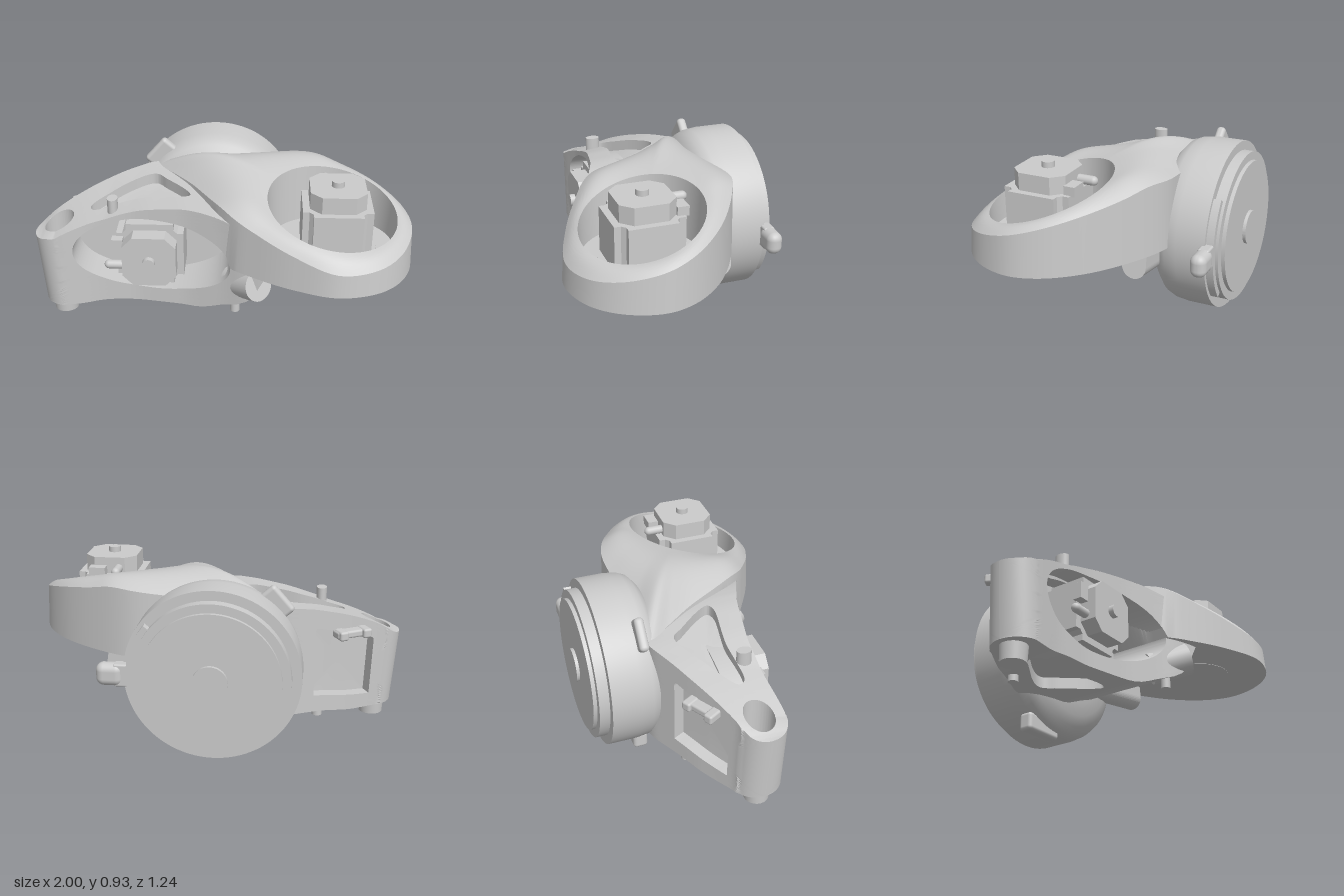
import * as THREE from 'three';
import { toCreasedNormals } from 'three/addons/utils/BufferGeometryUtils.js';
import { RoundedBoxGeometry } from 'three/addons/geometries/RoundedBoxGeometry.js';

const grey = new THREE.MeshStandardMaterial({ color: 0xcccccc });
const shellGrey = new THREE.MeshStandardMaterial({ color: 0xcccccc, side: THREE.DoubleSide });
const V3 = (x, y, z) => new THREE.Vector3(x, y, z);
const { lerp, clamp } = THREE.MathUtils;

function part(parent, name, geometry, x = 0, y = 0, z = 0, material = grey) {
  const mesh = new THREE.Mesh(geometry, material);
  mesh.name = name;
  mesh.position.set(x, y, z);
  parent.add(mesh);
  return mesh;
}

// Curve through [x, value] pairs, with softened corners
function linear(pairs, x) {
  let i = 1;
  while (i < pairs.length - 1 && x > pairs[i][0]) i++;
  const [a, b] = [pairs[i - 1], pairs[i]];
  return lerp(a[1], b[1], clamp((x - a[0]) / (b[0] - a[0]), 0, 1));
}
const along = (pairs, x) => [-0.04, -0.02, 0, 0.02, 0.04].reduce((s, d) => s + linear(pairs, x + d) / 5, 0);

// Skin over closed rings with equal point counts
function loft(rings, flip = false, crease = 0.55) {
  const n = rings[0].length, index = [];
  for (let r = 0; r < rings.length - 1; r++) {
    for (let i = 0; i < n; i++) {
      const a = r * n + i, b = r * n + (i + 1) % n, c = b + n, d = a + n;
      if (flip) index.push(a, c, b, a, d, c);
      else index.push(a, b, c, a, c, d);
    }
  }
  const g = new THREE.BufferGeometry().setFromPoints(rings.flat());
  g.setIndex(index);
  return toCreasedNormals(g, crease);
}

function smoothLoop(points, n) {
  const curve = new THREE.CatmullRomCurve3(points.map(([x, z]) => V3(x, 0, z)), true, 'centripetal');
  return curve.getSpacedPoints(n).slice(0, n).map(p => [p.x, p.z]);
}

const ellipse = (cx, cy, rx, ry, n = 160) => Array.from({ length: n }, (_, i) => {
  const a = i / n * Math.PI * 2;
  return [cx + rx * Math.cos(a), cy + ry * Math.sin(a)];
});

// Curved panel over the rectangle [u0,u1] x [0,1] with a blind recess
function recessedPanel(u0, u1, inner, map, push, flip) {
  const us = inner.map(p => p[0]), vs = inner.map(p => p[1]);
  const cu = (Math.min(...us) + Math.max(...us)) / 2, cv = (Math.min(...vs) + Math.max(...vs)) / 2;
  const corners = [[u0, 0], [u1, 0], [u1, 1], [u0, 1]], side = 48, outer = [];
  corners.forEach((a, k) => {
    const b = corners[(k + 1) % 4];
    for (let i = 0; i < side; i++) outer.push([lerp(a[0], b[0], i / side), lerp(a[1], b[1], i / side)]);
  });
  // Each rim point is matched with the recess edge on the same ray
  const edge = outer.map(([u, v]) => {
    const cross = p => (p[0] - cu) * (v - cv) - (p[1] - cv) * (u - cu);
    const i = inner.findIndex((p, j) => cross(p) >= 0 && cross(inner[(j + 1) % inner.length]) < 0);
    const p = inner[i], q = inner[(i + 1) % inner.length], t = cross(p) / (cross(p) - cross(q));
    return [lerp(p[0], q[0], t), lerp(p[1], q[1], t)];
  });
  const rings = [];
  for (let k = 0; k <= 16; k++) {
    rings.push(outer.map(([u, v], i) => map(lerp(u, edge[i][0], k / 16), lerp(v, edge[i][1], k / 16))));
  }
  const floor = rings[16].map(push);
  const mid = floor.reduce((s, p) => s.add(p), V3(0, 0, 0)).divideScalar(floor.length);
  rings.push(floor, floor.map(() => mid));
  return loft(rings, flip);
}

// Left arm: plan edges, top and underside as functions of x
const FRONT = [[-0.87, 0.23], [-0.66, 0.2], [-0.45, 0.2], [-0.18, 0.25], [0.03, 0.33], [0.12, 0.38], [0.25, 0.42]];
const BACK = [[-0.93, -0.015], [-0.65, -0.175], [-0.39, -0.31], [0.25, -0.3]];
const TOP = [[-1, 0.53], [-0.9, 0.61], [-0.8, 0.66], [-0.7, 0.7], [-0.55, 0.745], [-0.4, 0.77], [-0.2, 0.775], [0, 0.75], [0.25, 0.68]];
const UNDER = [[-1, 0.14], [-0.75, 0.145], [-0.6, 0.17], [-0.1, 0.18], [0.02, 0.235], [0.12, 0.27], [0.2, 0.34], [0.25, 0.52]];
const tip = x => Math.sqrt(Math.max(0, 0.0169 - (x + 0.87) ** 2));
const zf = x => x < -0.87 ? 0.1 + tip(x) : along(FRONT, x);
const zb = x => x < -0.93 ? 0.1 - tip(x) : along(BACK, x);
const toX = u => -1 + 1.25 * u * u;
const toU = x => Math.sqrt((x + 1) / 1.25);
const plan = ([x, z]) => [toU(x), (zf(x) - z) / (zf(x) - zb(x))];

function armPoint(u, w, v) {
  const x = toX(u), fade = clamp((-0.1 - x) / 0.5, 0, 1);
  const top = along(TOP, x) - 0.06 * (1 - w) * fade * clamp((x + 1) / 0.12, 0, 1);
  return V3(x + 0.03 * (1 - v) * clamp(-0.7 - x, 0, 0.3) / 0.3, lerp(along(UNDER, x), top, v), lerp(zf(x), zb(x), w));
}

function buildArm(group) {
  const arm = new THREE.Group();
  arm.name = 'leftArm';
  group.add(arm);
  const add = (name, geometry) => part(arm, name, geometry, 0, 0, 0, shellGrey);
  const vAt = (x, y) => {
    const a = armPoint(toU(x), 0, 0).y, b = armPoint(toU(x), 0, 1).y;
    return (y - a) / (b - a);
  };
  add('armFrontWall', recessedPanel(0, 1, ellipse(-0.365, 0.47, 0.425, 0.21).map(([x, y]) => [toU(x), vAt(x, y)]),
    (u, v) => armPoint(u, 0, v), p => V3(p.x, p.y, 0), false));
  const frame = [[-0.86, 0.16], [-0.55, 0.16], [-0.55, 0.82], [-0.86, 0.82]].map(([x, v]) => [toU(x), v]);
  add('armBackWall', recessedPanel(0, 1, frame, (u, v) => armPoint(u, 1, v),
    p => V3(p.x + 0.03, p.y, p.z + 0.06), true));
  const split = toU(-0.74), down = p => V3(p.x, p.y - 0.06, p.z);
  add('armTipTop', recessedPanel(0, split, ellipse(-0.87, 0.09, 0.08, -0.08).map(plan),
    (u, w) => armPoint(u, w, 1), p => V3(p.x, p.y - 0.2, p.z), false));
  const slot = smoothLoop([[-0.7, 0.05], [-0.68, 0.09], [-0.45, 0.08], [-0.2, 0.11], [-0.16, 0.09],
    [-0.3, -0.1], [-0.37, -0.165], [-0.6, -0.04]], 200).map(plan);
  add('armTop', recessedPanel(split, 1, slot, (u, w) => armPoint(u, w, 1), down, false));
  add('armUnderside', recessedPanel(0, 1, slot, (u, w) => armPoint(u, w, 0), p => V3(p.x, p.y + 0.06, p.z), true));

  // Foot, pegs and rear clip
  part(arm, 'foot', new THREE.CylinderGeometry(0.07, 0.065, 0.1, 32), -0.87, 0.105, 0.1);
  for (const [x, z] of [[-0.57, -0.17], [-0.78, -0.04]]) {
    part(arm, 'lowerPeg', new THREE.CylinderGeometry(0.027, 0.027, 0.05, 20), x, 0.16, z);
  }
  part(arm, 'topPeg', new THREE.CylinderGeometry(0.028, 0.028, 0.09, 20), -0.57, 0.715, 0.13).scale.z = 1.4;
  part(arm, 'rearClip', new RoundedBoxGeometry(0.16, 0.04, 0.07, 2, 0.012), -0.72, 0.6, -0.155).rotation.y = 0.52;
  for (const x of [-0.8, -0.68]) {
    part(arm, 'rearClipEnd', new RoundedBoxGeometry(0.05, 0.05, 0.09, 2, 0.012), x, 0.6, -0.12 - (x + 0.8) * 0.55).rotation.y = 0.52;
  }
}

// Right lobe: teardrop plan, sloping crowned top and a round motor well
function buildLobe(group) {
  const outline = smoothLoop([[-0.38, -0.31], [-0.1, -0.32], [0.2, -0.335], [0.41, -0.33], [0.62, -0.24], [0.83, -0.09], [0.96, 0.08],
    [1, 0.24], [0.94, 0.43], [0.81, 0.56], [0.6, 0.615], [0.38, 0.55], [0.19, 0.45], [0.04, 0.34],
    [-0.18, -0.02], [-0.28, -0.16]], 160).reverse();
  const n = outline.length;
  let rimY = outline.map(([x, z]) => {
    const d = 0.61 - z;
    return Math.min(0.6 + 0.2 * d + 0.07 * d * d + 0.14 * clamp((0.6 - x) / 0.6, 0, 1), 0.8 + 0.1 * x);
  });
  for (let k = 0; k < 12; k++) {
    rimY = rimY.map((y, i) => (rimY[(i + n - 1) % n] + y * 2 + rimY[(i + 1) % n]) / 4);
  }
  const angles = outline.map(([x, z]) => Math.atan2((z - 0.215) / 0.305, (x - 0.58) / 0.335));
  const well = (k, y) => angles.map(a => {
    const x = 0.58 + 0.335 * k * Math.cos(a), z = 0.215 + 0.305 * k * Math.sin(a);
    return V3(x, y ?? 0.69 + (0.52 - z) * 0.27 - (x - 0.58) * 0.15, z);
  });
  const lip = well(1);
  // The underside lifts where the lobe runs into the arm
  const base = outline.map(([x, z]) => V3(x, lerp(0.69, 0.48, clamp((x + 0.02) / 0.08, 0, 1)), z));
  const rim = outline.map(([x, z], i) => V3(lerp(x, 0.5, 0.02), rimY[i], lerp(z, 0.15, 0.02)));
  const rings = [outline.map(() => V3(0.6, 0.48, 0.2)), base.map(p => p.x > 0.06 ? p : V3(0.06, 0.48, p.z)), base, rim];
  for (let k = 1; k <= 16; k++) {
    const t = k / 16;
    rings.push(rim.map((p, i) => {
      const q = p.clone().lerp(lip[i], t);
      q.y += 0.13 * Math.hypot(p.x - lip[i].x, p.z - lip[i].z) * Math.sin(Math.PI * t);
      return q;
    }));
  }
  rings.push(well(0.97, 0.56), well(0, 0.56));
  part(group, 'rightLobe', loft(rings), 0, 0, 0, shellGrey);
  part(group, 'lobeUndersideDisc', new THREE.CylinderGeometry(0.18, 0.18, 0.01, 48), 0.6, 0.483, 0.22);
  part(group, 'motorSeat', new THREE.CylinderGeometry(0.215, 0.215, 0.02, 48), 0.6, 0.565, 0.22);
}

// Motor standing along +y, with its shoulder at y = 0
function buildMotor(name) {
  const motor = new THREE.Group();
  motor.name = name;
  const block = (outline, y, depth, label) => {
    const s = new THREE.Shape(outline.map(p => new THREE.Vector2(...p)));
    part(motor, label, new THREE.ExtrudeGeometry(s, { depth, bevelEnabled: false }).rotateX(-Math.PI / 2), 0, y, 0);
  };
  const fourfold = pts => [0, 1, 2, 3].flatMap(k => pts.map(([x, y]) => [[x, y], [-y, x], [-x, -y], [y, -x]][k]));
  block(fourfold([[0.178, 0.125], [0.145, 0.125], [0.125, 0.145], [0.125, 0.178]]), -0.25, 0.25, 'motorBody');
  block(fourfold([[0.142, 0.085], [0.085, 0.142]]), 0, 0.09, 'motorCap');
  part(motor, 'motorShaft', new THREE.CylinderGeometry(0.033, 0.033, 0.04, 32), 0, 0.1, 0);
  part(motor, 'plugBlock', new THREE.BoxGeometry(0.09, 0.05, 0.06), 0.06, 0.02, -0.17);
  part(motor, 'cablePlug', new THREE.CapsuleGeometry(0.024, 0.08, 6, 16).rotateX(Math.PI / 2), -0.05, 0.03, -0.18);
  return motor;
}

// Rear turntable drum with lugs, ring band and lever
function buildDrum(group) {
  const drum = new THREE.Group();
  drum.name = 'drum';
  group.add(drum);
  const profile = [[0, 0.15], [0.17, 0.175], [0.26, 0.19], [0.33, 0.208], [0.385, 0.235], [0.425, 0.27], [0.442, 0.31], [0.45, 0.375], [0.45, 0.53],
    [0.4, 0.53], [0.4, 0.585], [0.355, 0.585], [0.355, 0.605], [0.09, 0.605], [0.09, 0.622], [0, 0.622]];
  const lathe = new THREE.LatheGeometry(profile.map(p => new THREE.Vector2(...p)), 96).rotateX(-Math.PI / 2);
  part(drum, 'drumBody', toCreasedNormals(lathe, 0.6), -0.045, 0.47, 0);
  const band = new THREE.Shape();
  band.absarc(0, 0, 0.43, -0.68, 0.68, false);
  band.absarc(0, 0, 0.38, 0.68, -0.68, true);
  part(drum, 'ringBand', new THREE.ExtrudeGeometry(band, { depth: 0.065, bevelEnabled: false, curveSegments: 24 }), -0.045, 0.47, -0.57);
  part(drum, 'leverArm', new RoundedBoxGeometry(0.16, 0.12, 0.06, 3, 0.01), 0.37, 0.47, -0.54);
  part(drum, 'leverKnob', new RoundedBoxGeometry(0.14, 0.12, 0.085, 6, 0.04), 0.47, 0.47, -0.54);
  part(drum, 'upperLug', new RoundedBoxGeometry(0.17, 0.12, 0.05, 3, 0.02), -0.345, 0.805, -0.335).rotation.z = 0.85;
  part(drum, 'lowerLug', new RoundedBoxGeometry(0.24, 0.1, 0.08, 3, 0.02), -0.17, 0.05, -0.33);
  const tab = new THREE.Shape();
  tab.moveTo(0.065, 0.56);
  tab.lineTo(-0.065, 0.56);
  tab.lineTo(-0.065, 0.42);
  tab.absarc(0, 0.42, 0.065, Math.PI, Math.PI * 2, false);
  const tabGeometry = new THREE.ExtrudeGeometry(tab, { depth: 0.4, bevelEnabled: false }).rotateY(Math.PI / 2);
  part(drum, 'sideLug', tabGeometry, 0.215, -0.055, -0.215).rotation.z = 0.15;
}

export function createModel() {
  const group = new THREE.Group();
  group.name = 'twinMotorJoint';
  buildArm(group);
  buildLobe(group);
  buildDrum(group);

  const topMotor = buildMotor('topMotor');
  topMotor.position.set(0.6, 0.81, 0.22);
  const frontMotor = buildMotor('frontMotor');
  frontMotor.rotation.set(Math.PI / 2, Math.PI / 2, 0);
  frontMotor.position.set(-0.37, 0.47, 0.21);
  group.add(topMotor, frontMotor);

  // Slanted boss and stop pin below the lobe
  const boss = part(group, 'boss', new THREE.CylinderGeometry(0.085, 0.085, 0.22, 32), 0.14, 0.365, 0.31);
  boss.quaternion.setFromUnitVectors(V3(0, 1, 0), V3(0.6, 0.3, 0.7).normalize());
  part(group, 'stopPin', new THREE.CylinderGeometry(0.025, 0.025, 0.12, 20), 0.085, 0.26, 0.32);
  return group;
}
